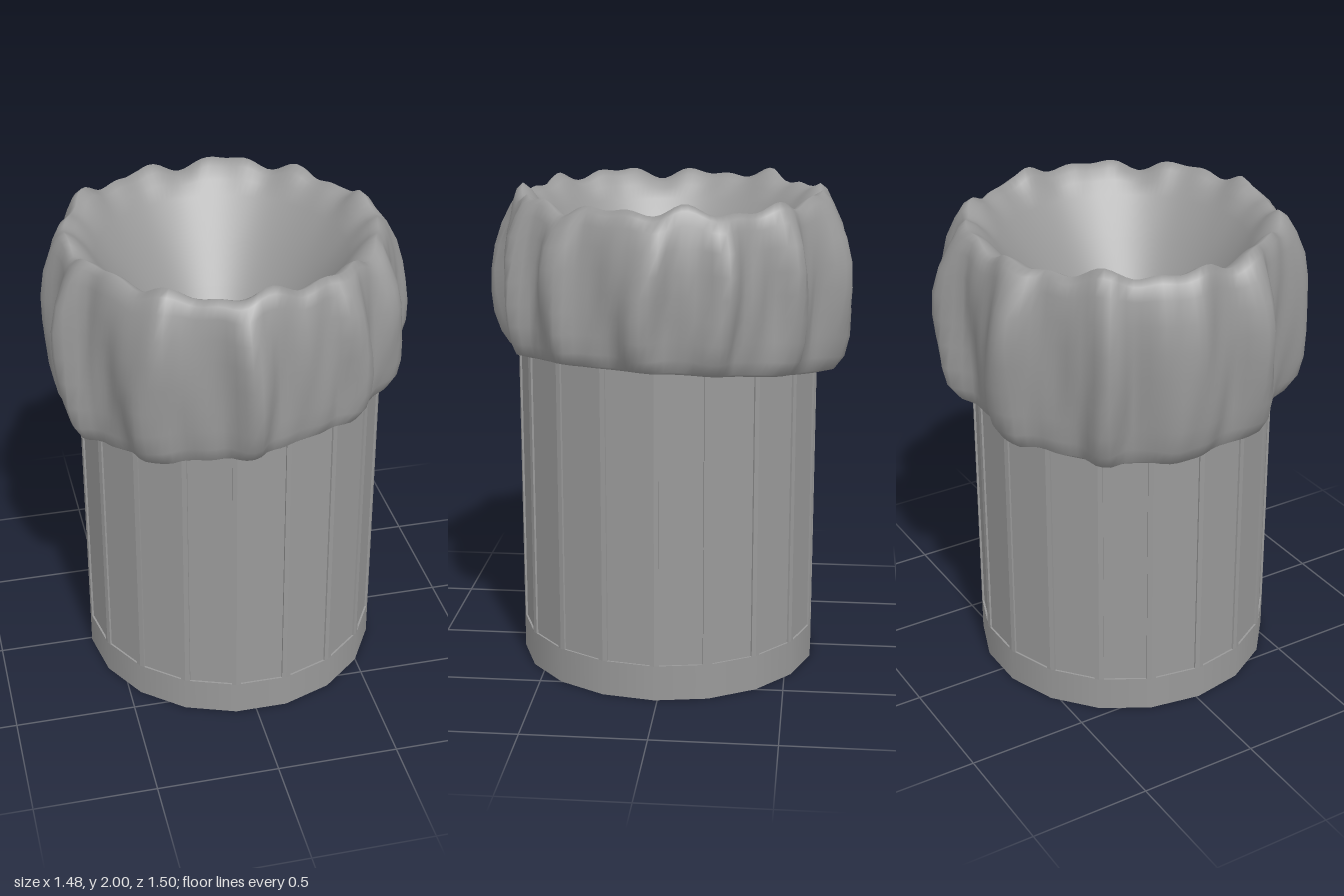
import * as THREE from 'three';

const SIDES = 18, RADIUS = 0.623, CX = 0.022, CZ = 0.012;
const TAU = Math.PI * 2;

// Pleat ridges of the puff: direction (degrees from the front towards +x), how far they stand out, width
const RIDGES = [
  [-4, 0.075, 5], [34, 0.065, 5], [56, 0.06, 6], [88, 0.07, 6], [112, 0.075, 5], [139, 0.065, 5],
  [166, 0.09, 7], [-159, 0.1, 7], [-125, 0.085, 5], [-99, 0.065, 10], [-72, 0.085, 6], [-36, 0.075, 8],
];

// Outside of the puff: radius, height fraction (0 = tilted lower edge, 1 = crest), ridge strength
const OUTSIDE = [
  [0.585, 0.08, 0], [0.625, 0.0, 0.2], [0.645, 0.02, 0.55], [0.66, 0.1, 0.8], [0.667, 0.22, 0.95],
  [0.672, 0.36, 1], [0.674, 0.5, 1], [0.672, 0.64, 0.95], [0.665, 0.78, 0.75], [0.65, 0.9, 0.45],
  [0.634, 0.97, 0.25], [0.61, 1.0, 0.15],
];
// Sunken crown: radius, height, ridge strength
const FUNNEL = [
  [0.575, 1.945, 0.08], [0.54, 1.91, 0.03], [0.5, 1.86, 0], [0.4, 1.71, 0], [0.3, 1.55, 0],
  [0.2, 1.38, 0], [0.13, 1.26, 0], [0.08, 1.21, 0], [0.04, 1.2, 0], [0, 1.2, 0],
];
const CREST = 1.965;

// Ridge height at an angle: steeper on one flank, like folded cloth
function ridge(deg) {
  let sum = 0;
  for (const [centre, height, width] of RIDGES) {
    const d = ((deg - centre + 540) % 360) - 180;
    const w = d > 0 ? width * 0.85 : width * 1.25;
    sum += height * Math.exp(-(Math.abs(d / w) ** 3));
  }
  return sum;
}

function buildPuff() {
  const cols = 150, rows = OUTSIDE.length + FUNNEL.length, pos = [], index = [];
  const addRing = (r, s, j, dx, dz, heightAt) => {
    for (let i = 0; i < cols; i++) {
      const a = (i / cols) * TAU;
      // Folds wander sideways a little as they rise
      const wander = 1.2 * Math.sin(j * 0.8 + 3 * a);
      const wrinkle = 0.008 * Math.sin(a * 17 + j * 0.5) + 0.005 * Math.sin(a * 29 - j * 0.8);
      const rr = r + s * (ridge((a * 180) / Math.PI + wander) + wrinkle);
      pos.push(Math.sin(a) * rr + dx, heightAt(a), Math.cos(a) * rr + dz);
    }
  };
  // Uneven crest
  const uneven = (a) => 0.015 * Math.sin(a * 11 + 1) + 0.012 * Math.sin(a * 19) + 0.008 * Math.sin(a * 5);
  OUTSIDE.forEach(([r, t, s], j) => addRing(r, s, j, CX * (1 - t), CZ * (1 - t), (a) => {
    const low = 1.27 + 0.085 * Math.sin(a) + 0.03 * Math.cos(a);
    return low + (CREST - low) * t + uneven(a) * t ** 4;
  }));
  // The funnel bottoms out slightly towards the front
  FUNNEL.forEach(([r, y, s], j) => {
    const depth = (CREST - y) / (CREST - 1.2);
    addRing(r, s, OUTSIDE.length + j, -0.02 * depth, 0.05 * depth, (a) => y + uneven(a) * Math.max(0, 1 - depth * 9));
  });
  for (let j = 0; j < rows - 1; j++) {
    for (let i = 0; i < cols; i++) {
      const n = (i + 1) % cols;
      const a = j * cols + i, b = j * cols + n, c = a + cols, d = b + cols;
      index.push(a, b, d);
      if (j < rows - 2) index.push(a, d, c);
    }
  }
  const g = new THREE.BufferGeometry();
  g.setAttribute('position', new THREE.Float32BufferAttribute(pos, 3));
  g.setIndex(index);
  g.computeVertexNormals();
  return g;
}

// Polygonal wall with slightly recessed panels between narrow corner strips
function buildWall() {
  const corner = (k) => {
    const a = ((k + 0.5) / SIDES) * TAU;
    return new THREE.Vector2(Math.sin(a) * RADIUS, -Math.cos(a) * RADIUS);
  };
  const points = [], recess = 1 - 0.008 / RADIUS;
  for (let k = 0; k < SIDES; k++) {
    const c = corner(k);
    const before = c.clone().lerp(corner(k - 1), 0.09);
    const after = c.clone().lerp(corner(k + 1), 0.09);
    points.push(before.clone().multiplyScalar(recess), before, c, after, after.clone().multiplyScalar(recess));
  }
  const g = new THREE.ExtrudeGeometry(new THREE.Shape(points), { depth: 1.25, bevelEnabled: false });
  // Open the top so that nothing shows inside the sunken crown
  const wall = g.groups[1];
  const open = g.clone();
  for (const key of ['position', 'normal', 'uv']) {
    const { array, itemSize } = g.attributes[key];
    const part = array.slice(wall.start * itemSize, (wall.start + wall.count) * itemSize);
    open.setAttribute(key, new THREE.BufferAttribute(part, itemSize));
  }
  open.clearGroups();
  open.rotateX(-Math.PI / 2);
  open.translate(CX, 0.145, CZ);
  return open;
}

export function createModel() {
  const group = new THREE.Group();
  const material = new THREE.MeshStandardMaterial({ color: 0x999999 });
  const add = (name, geometry, mat = material) => {
    const mesh = new THREE.Mesh(geometry, mat);
    mesh.name = name;
    group.add(mesh);
  };

  // Plain band around the foot
  const band = new THREE.CylinderGeometry(RADIUS, RADIUS, 0.147, SIDES, 1, false, Math.PI / SIDES);
  band.translate(CX, 0.0735, CZ);
  add('footBand', band);

  // Pleated wall rising into the puff
  add('pleatedWall', buildWall());

  // Gathered cloth puff with a sunken crown
  const cloth = material.clone();
  cloth.side = THREE.DoubleSide;
  add('gatheredPuff', buildPuff(), cloth);

  return group;
}
